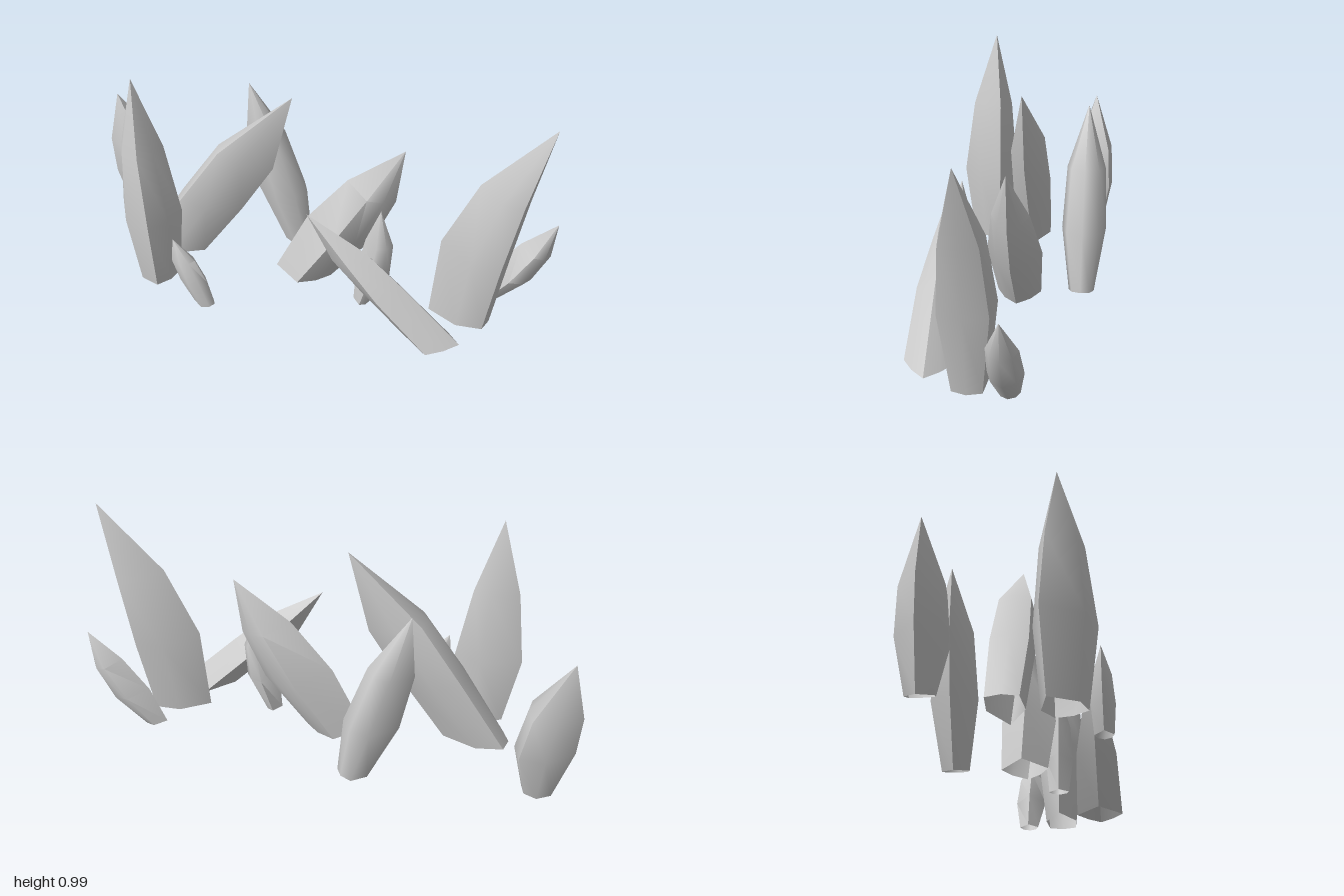
import * as THREE from 'three';
import { toCreasedNormals } from 'three/addons/utils/BufferGeometryUtils.js';

const GROUND = 0.07;

// Base [x, y], tip [x, y] and depth position z set the spine.
// widths and depths are half sizes of the base, belly and shoulder rings.
// flat runs from 0 (diamond section) to 1 (blunt right end); negative is blunt on the left.
const CRYSTALS = [
  { name: 'farLeftCrystal', z: -0.255, base: [-0.855, 0.025], tip: [-0.945, 0.635], baseTilt: 2.2, bow: 0.017, flat: 1,
    stations: [0.34, 0.62], widths: [0.06, 0.118, 0.105], depths: [0.05, 0.09, 0.08] },
  { name: 'rearCrystal', z: -0.26, base: [-0.12, 0.035], tip: [-0.335, 0.79], baseTilt: 0.9, flat: 0.6,
    widths: [0.06, 0.11, 0.09], depths: [0.053, 0.092, 0.08] },
  { name: 'tallLeftCrystal', z: 0.175, base: [-0.62, GROUND], tip: [-0.65, 0.99], bow: -0.01, flat: 1, yaw: 0.43,
    widths: [0.097, 0.14, 0.092], depths: [0.075, 0.105, 0.078] },
  { name: 'leaningCrystal', z: -0.01, base: [-0.605, GROUND], tip: [-0.065, 0.905], flat: -1,
    stations: [0.34, 0.63], widths: [0.135, 0.13, 0.115], depths: [0.067, 0.08, 0.07] },
  { name: 'middleCrystal', z: -0.01, base: [-0.02, GROUND], tip: [0.39, 0.75], flat: 0.25,
    stations: [0.38, 0.69], widths: [0.12, 0.14, 0.1], depths: [0.09, 0.11, 0.075] },
  { name: 'frontCrystal', z: 0.25, base: [0.585, GROUND], tip: [0.075, 0.565], flat: 0.15,
    stations: [0.4, 0.67], widths: [0.115, 0.085, 0.065], depths: [0.097, 0.085, 0.05] },
  { name: 'smallFrontCrystal', z: 0.31, base: [-0.345, GROUND], tip: [-0.465, 0.365], flat: 0.5,
    widths: [0.045, 0.058, 0.05], depths: [0.036, 0.045, 0.035] },
  { name: 'smallMiddleCrystal', z: 0.1, base: [0.265, GROUND], tip: [0.33, 0.53], bow: 0.02, flat: 0.5,
    widths: [0.035, 0.068, 0.056], depths: [0.04, 0.057, 0.045] },
  { name: 'tallRightCrystal', z: 0.077, base: [0.663, GROUND], tip: [0.95, 1.0], bow: -0.066, flat: 1,
    stations: [0.37, 0.68], widths: [0.123, 0.135, 0.095], depths: [0.065, 0.105, 0.08] },
  { name: 'farRightCrystal', z: -0.073, base: [0.743, GROUND], tip: [0.995, 0.49], bow: 0.01, flat: 0.5,
    widths: [0.048, 0.08, 0.06], depths: [0.04, 0.066, 0.058] },
];

// Six-cornered section with a point at one end and a more or less blunt other end
function sectionCorners(flat) {
  const u = 0.5 + 0.35 * Math.abs(flat);
  const w = 0.5 + 0.38 * Math.abs(flat);
  const turn = flat < 0 ? -1 : 1;
  return [[1, 0], [u, w], [0, 1], [-1, 0], [0, -1], [u, -w]].map(([x, z]) => [x * turn, z * turn]);
}

// Loft an open-based shaft along the spine and run it to a point.
// Rings tilt against the lean; bow shifts the belly and shoulder sideways.
function crystalGeometry({ base, tip, z, widths, depths, flat, stations = [0.34, 0.67], baseTilt = 0, bow = 0, yaw = 0 }) {
  const lean = (tip[0] - base[0]) / (tip[1] - base[1]);
  const heights = [0, ...stations];
  const tilts = [baseTilt, 0.3, 0.5];
  const corners = sectionCorners(flat);
  const sides = corners.length;
  const points = [];
  heights.forEach((t, r) => {
    const cx = THREE.MathUtils.lerp(base[0], tip[0], t) + (r > 0 ? bow : 0);
    const cy = THREE.MathUtils.lerp(base[1], tip[1], t);
    for (const [u, w] of corners) {
      const a = u * widths[r];
      const b = w * depths[r];
      const dx = a * Math.cos(yaw) - b * Math.sin(yaw);
      const dz = a * Math.sin(yaw) + b * Math.cos(yaw);
      points.push(cx + dx, cy - dx * lean * tilts[r], z + dz);
    }
  });
  const tipIndex = points.length / 3;
  points.push(tip[0], tip[1], z);

  const index = [];
  for (let r = 0; r < heights.length; r++) {
    for (let i = 0; i < sides; i++) {
      const a = r * sides + i;
      const b = r * sides + ((i + 1) % sides);
      if (r === heights.length - 1) index.push(a, tipIndex, b);
      else index.push(a, a + sides, b + sides, a, b + sides, b);
    }
  }

  const geometry = new THREE.BufferGeometry();
  geometry.setAttribute('position', new THREE.Float32BufferAttribute(points, 3));
  geometry.setIndex(index);
  return toCreasedNormals(geometry, 1.1);
}

export function createModel() {
  const group = new THREE.Group();
  group.name = 'crystalCluster';
  const material = new THREE.MeshStandardMaterial({ color: 0xcccccc, side: THREE.DoubleSide });
  for (const crystal of CRYSTALS) {
    const mesh = new THREE.Mesh(crystalGeometry(crystal), material);
    mesh.name = crystal.name;
    group.add(mesh);
  }
  return group;
}
